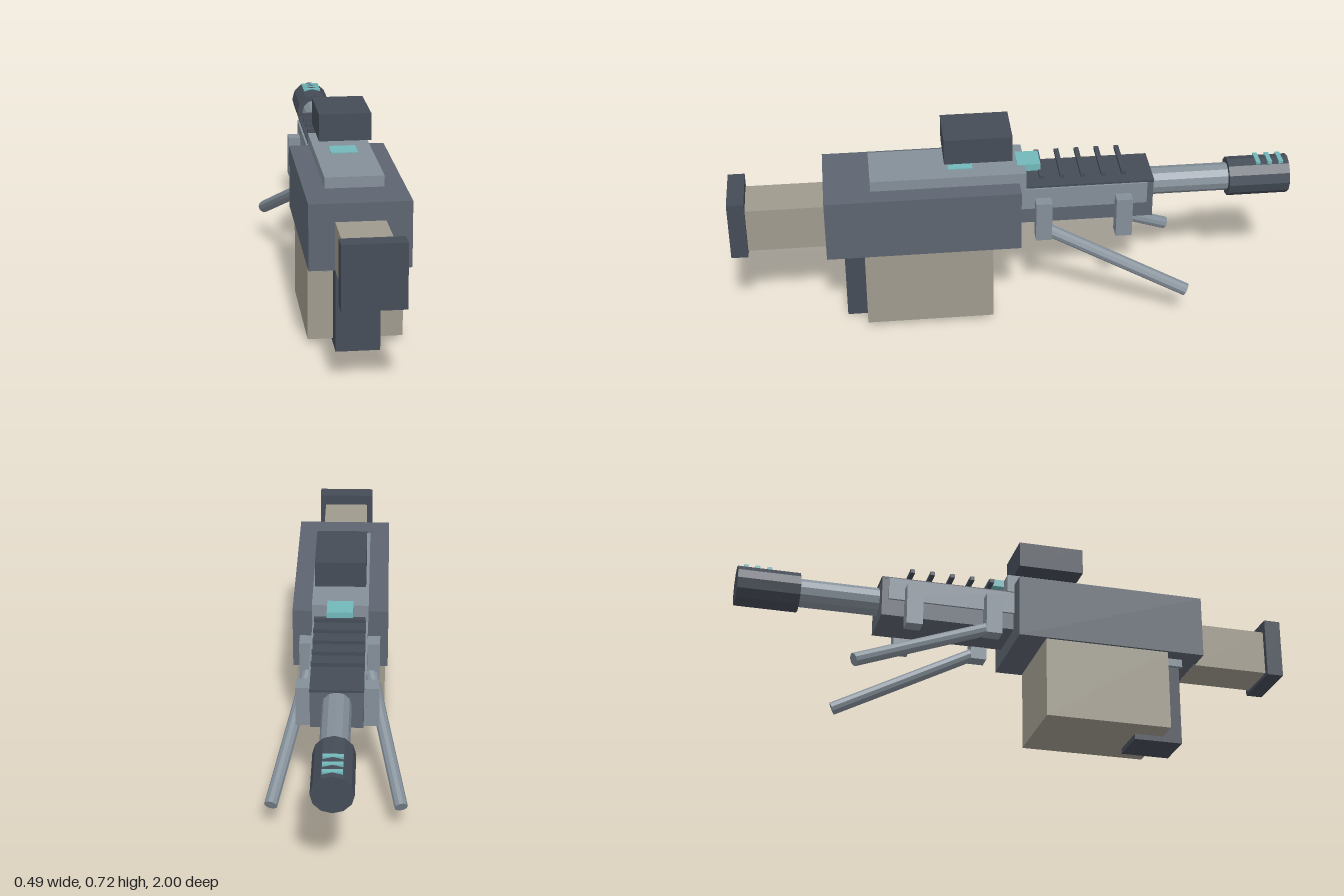
import * as THREE from 'three';

const mat = (color) => new THREE.MeshStandardMaterial({ color, flatShading: true });

export function createModel() {
  const model = new THREE.Group();
  model.name = 'rifle';
  const steel = mat(0x5d6570), dark = mat(0x454c57), light = mat(0x848f99);
  const tan = mat(0x9f9a8d), teal = mat(0x72b8ba);

  const add = (name, geometry, material) => {
    const mesh = new THREE.Mesh(geometry, material);
    mesh.name = name;
    model.add(mesh);
    return mesh;
  };
  // box given by its limits on each axis
  const box = (name, material, x0, x1, y0, y1, z0, z1) =>
    add(name, new THREE.BoxGeometry(x1 - x0, y1 - y0, z1 - z0), material)
      .position.set((x0 + x1) / 2, (y0 + y1) / 2, (z0 + z1) / 2);
  // box centred on x
  const mid = (name, material, half, y0, y1, z0, z1) =>
    box(name, material, -half, half, y0, y1, z0, z1);
  // cylinder between two points
  const rod = (name, material, radius, a, b, sides) => {
    const from = new THREE.Vector3(...a), to = new THREE.Vector3(...b);
    const dir = to.clone().sub(from);
    const mesh = add(name, new THREE.CylinderGeometry(radius, radius, dir.length(), sides), material);
    mesh.position.copy(from).add(to).multiplyScalar(0.5);
    mesh.quaternion.setFromUnitVectors(new THREE.Vector3(0, 1, 0), dir.normalize());
  };

  // stock, body, magazine and grip
  mid('buttPlate', dark, 0.104, 0.297, 0.515, 0.94, 1);
  mid('stock', tan, 0.083, 0.31, 0.475, 0.66, 0.94);
  mid('receiver', steel, 0.17, 0.311, 0.538, -0.02, 0.665);
  mid('topCover', light, 0.1, 0.51, 0.576, -0.045, 0.502);
  mid('magazine', tan, 0.161, 0.02, 0.311, 0.08, 0.533);
  mid('grip', dark, 0.075, 0, 0.311, 0.428, 0.604);

  // scope and its glowing panels
  mid('scope', dark, 0.09, 0.625, 0.72, 0.003, 0.242);
  mid('coverPanel', teal, 0.047, 0.57, 0.579, 0.14, 0.226);
  mid('frontPanel', teal, 0.046, 0.553, 0.579, -0.1, -0.018);

  // handguard with top strip and rail bars
  mid('handguard', steel, 0.09, 0.366, 0.507, -0.498, -0.02);
  mid('handguardTop', dark, 0.091, 0.506, 0.515, -0.5, -0.02);
  for (let i = 0; i < 5; i++) {
    const z = -0.1 - i * 0.0725;
    mid('railBar', dark, 0.09, 0.543, 0.557, z - 0.008, z + 0.008);
  }

  // barrel, muzzle and vents
  rod('barrel', light, 0.05, [0, 0.456, -0.49], [0, 0.456, -0.8], 12);
  rod('muzzle', dark, 0.07, [0, 0.456, -0.78], [0, 0.456, -1], 12);
  for (const z of [-0.97, -0.93, -0.888])
    mid('muzzleVent', teal, 0.033, 0.51, 0.527, z - 0.008, z + 0.008);

  // mirrored side parts
  for (const s of [1, -1]) {
    const side = (name, material, x0, x1, ...rest) =>
      box(name, material, Math.min(s * x0, s * x1), Math.max(s * x0, s * x1), ...rest);
    side('sidePanel', light, 0.085, 0.098, 0.427, 0.508, -0.475, -0.02);
    side('gripTab', light, 0.098, 0.112, 0.283, 0.311, 0.5, 0.604);
    side('frontBracket', light, 0.088, 0.142, 0.32, 0.47, -0.418, -0.36);
    side('rearBracket', light, 0.088, 0.142, 0.32, 0.47, -0.132, -0.075);
    rod('bipodLeg', light, 0.023, [s * 0.112, 0.345, -0.12], [s * 0.22, 0.122, -0.61], 10);
  }
  return model;
}
